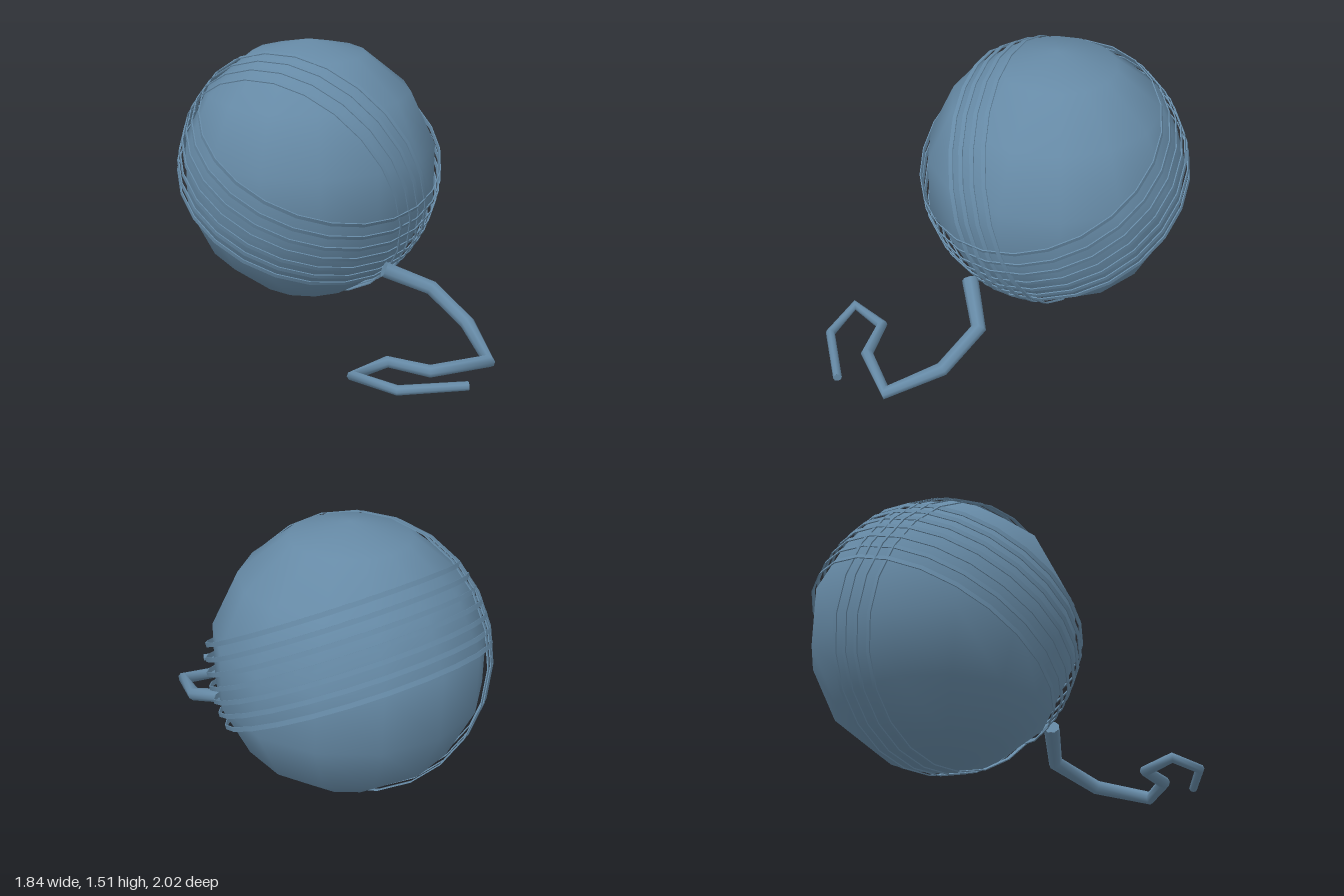
import * as THREE from 'three';

const R = 0.75;
const CENTRE = new THREE.Vector3(-0.165, 0.77, -0.28);
const UP = new THREE.Vector3(0, 1, 0);

// Thin flat strand wound round the ball, at a distance from the ball's centre
function strandGeometry(offset) {
  const w = 0.012, t = 0.006, rOut = 0.756;
  const r = Math.sqrt(rOut * rOut - offset * offset);
  const c = [[r, offset - w], [r, offset + w], [r - t, offset + w], [r - t, offset - w]];
  const profile = [];
  for (let i = 0; i < 4; i++) profile.push(new THREE.Vector2(...c[i]), new THREE.Vector2(...c[(i + 1) % 4]));
  const g = new THREE.LatheGeometry(profile, 24);
  g.normalizeNormals();
  return g;
}

// Path with straight pieces and mitred bends
class BentPath extends THREE.Curve {
  constructor(points) { super(); this.points = points; }
  getPoint(t, target = new THREE.Vector3()) {
    const n = this.points.length - 1, f = t * n, i = Math.min(Math.floor(f), n - 1);
    return target.lerpVectors(this.points[i], this.points[i + 1], f - i);
  }
  getPointAt(t, target) { return this.getPoint(t, target); }
  getTangentAt(t, target = new THREE.Vector3()) {
    const p = this.points, n = p.length - 1, i = Math.round(t * n);
    target.set(0, 0, 0);
    if (i > 0) target.add(p[i].clone().sub(p[i - 1]).normalize());
    if (i < n) target.add(p[i + 1].clone().sub(p[i]).normalize());
    return target.normalize();
  }
}

export function createModel() {
  const model = new THREE.Group();
  model.name = 'yarnBall';
  const yarn = new THREE.MeshStandardMaterial({ color: 0x668aa6 });
  yarn.name = 'blueYarn';

  function add(parent, geometry, name) {
    const mesh = new THREE.Mesh(geometry, yarn);
    mesh.name = name;
    parent.add(mesh);
    return mesh;
  }

  // Ball
  const ball = add(model, new THREE.SphereGeometry(R, 14, 7), 'ball');
  ball.position.copy(CENTRE);
  ball.scale.set(0.98, 1, 0.98);

  // Two windings of parallel strands
  const windings = [
    { name: 'levelWinding', axis: [0.315, 0.875, 0.368], first: 0.28, count: 7 },
    { name: 'uprightWinding', axis: [-0.39, -0.3, 0.87], first: 0.24, count: 4 },
  ];
  for (const { name, axis, first, count } of windings) {
    const group = new THREE.Group();
    group.name = name;
    group.position.copy(CENTRE);
    group.quaternion.setFromUnitVectors(UP, new THREE.Vector3(...axis).normalize());
    for (let i = 0; i < count; i++) add(group, strandGeometry(first - i * 0.073), 'strand');
    model.add(group);
  }

  // Loose end, tapering along its bends
  const points = [
    [0.31, 0.36, 0.19], [0.57, 0.24, 0.14], [0.77, 0.135, 0.33],
    [0.88, 0.075, 0.62], [0.59, 0.07, 0.75], [0.37, 0.075, 0.69],
    [0.21, 0.08, 0.86], [0.44, 0.08, 0.97], [0.78, 0.08, 0.885],
  ].map(p => new THREE.Vector3(...p));
  const path = new BentPath(points);
  const last = points.length - 1, sides = 8;
  const radius = i => 0.045 - 0.022 * i / last;
  const tube = new THREE.TubeGeometry(path, last, 1, sides, false);
  const pos = tube.attributes.position, v = new THREE.Vector3();
  for (let k = 0; k < pos.count; k++) {
    const i = Math.floor(k / (sides + 1));
    v.fromBufferAttribute(pos, k).sub(points[i]).multiplyScalar(radius(i)).add(points[i]);
    pos.setXYZ(k, v.x, v.y, v.z);
  }
  add(model, tube, 'looseEnd');

  // Caps of the loose end
  for (const [i, sign] of [[0, -1], [last, 1]]) {
    const cap = add(model, new THREE.CircleGeometry(radius(i), sides), 'looseEndCap');
    cap.position.copy(points[i]);
    cap.quaternion.setFromUnitVectors(new THREE.Vector3(0, 0, 1), path.getTangentAt(i / last).multiplyScalar(sign));
  }
  return model;
}
